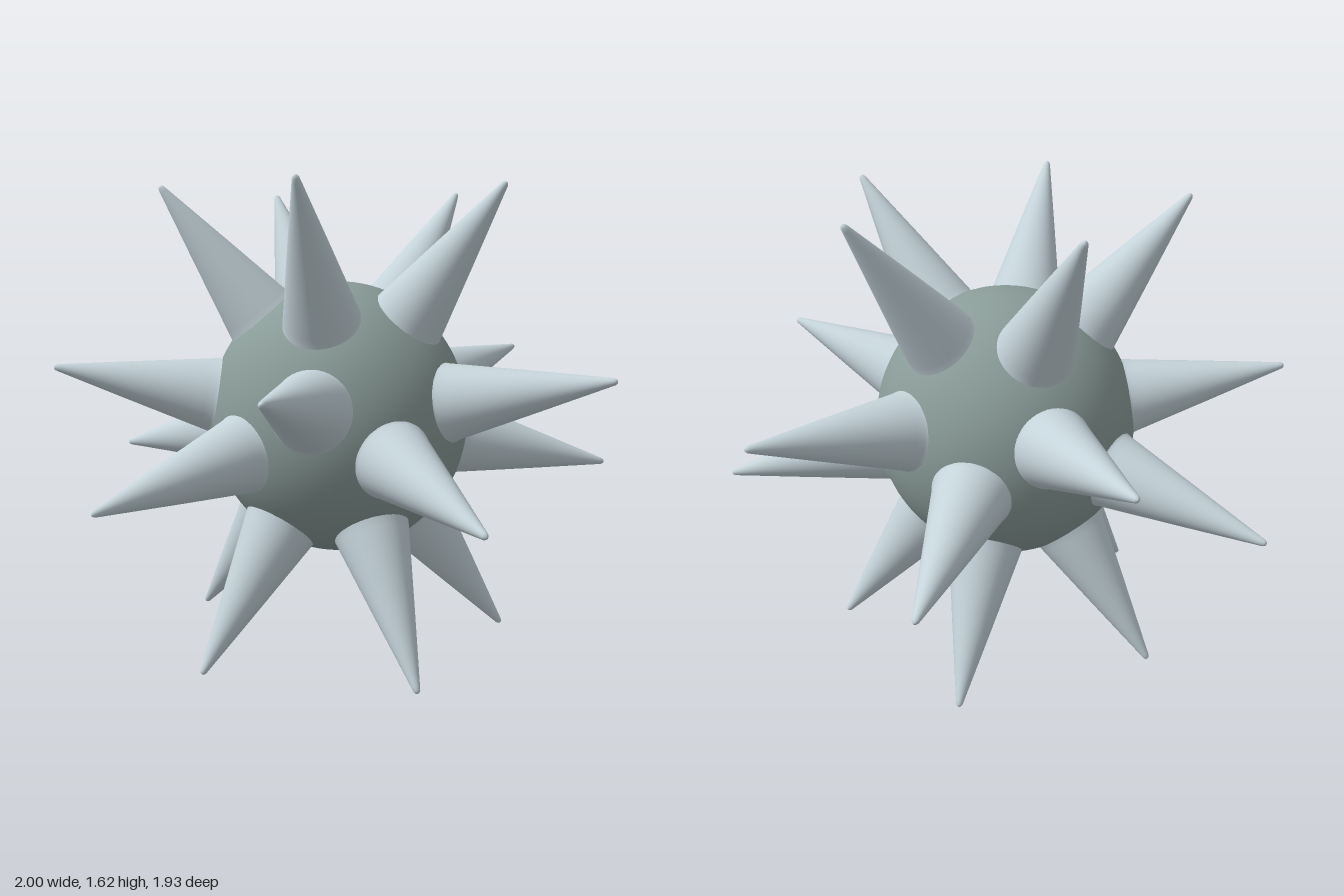
import * as THREE from 'three';

const CENTRE_Y = 0.815;
const REACH = 1.017; // centre to spike tip

export function createModel() {
  const model = new THREE.Group();
  model.name = 'spikedBall';

  const bodyMaterial = new THREE.MeshStandardMaterial({ color: 0x8a9c98 });
  const spikeMaterial = new THREE.MeshStandardMaterial({ color: 0xc4d3d9 });

  // Core ball, slightly taller than wide
  const body = new THREE.Mesh(new THREE.SphereGeometry(0.462, 64, 48), bodyMaterial);
  body.name = 'body';
  body.scale.y = 1.045;
  body.position.y = CENTRE_Y;
  model.add(body);

  // Spike: flared foot, straight taper, small rounded tip; y runs outward from the centre
  const profile = [
    [0.152, 0.425], [0.139, 0.436], [0.132, 0.452], [0.126, 0.48], [0.07, 0.74],
    [0.014, 0.995], [0.011, 1.008], [0.006, 1.015], [0, REACH],
  ].map(([r, y]) => new THREE.Vector2(r, y));
  const spikeGeometry = new THREE.LatheGeometry(profile, 48);

  // Four rings of five, pointing at the corners of a dodecahedron
  const rings = [
    { name: 'topSpike', height: 0.7947, turn: 39 },
    { name: 'upperSpike', height: 0.1876, turn: 39 },
    { name: 'lowerSpike', height: -0.1876, turn: 3 },
    { name: 'bottomSpike', height: -0.7947, turn: 3 },
  ];
  const up = new THREE.Vector3(0, 1, 0);
  for (const { name, height, turn } of rings) {
    const radius = Math.sqrt(1 - height * height);
    for (let i = 0; i < 5; i++) {
      const angle = THREE.MathUtils.degToRad(turn + i * 72);
      const direction = new THREE.Vector3(
        radius * Math.cos(angle), height, radius * Math.sin(angle));
      const spike = new THREE.Mesh(spikeGeometry, spikeMaterial);
      spike.name = `${name}${i + 1}`;
      spike.position.y = CENTRE_Y;
      spike.quaternion.setFromUnitVectors(up, direction);
      model.add(spike);
    }
  }
  return model;
}
